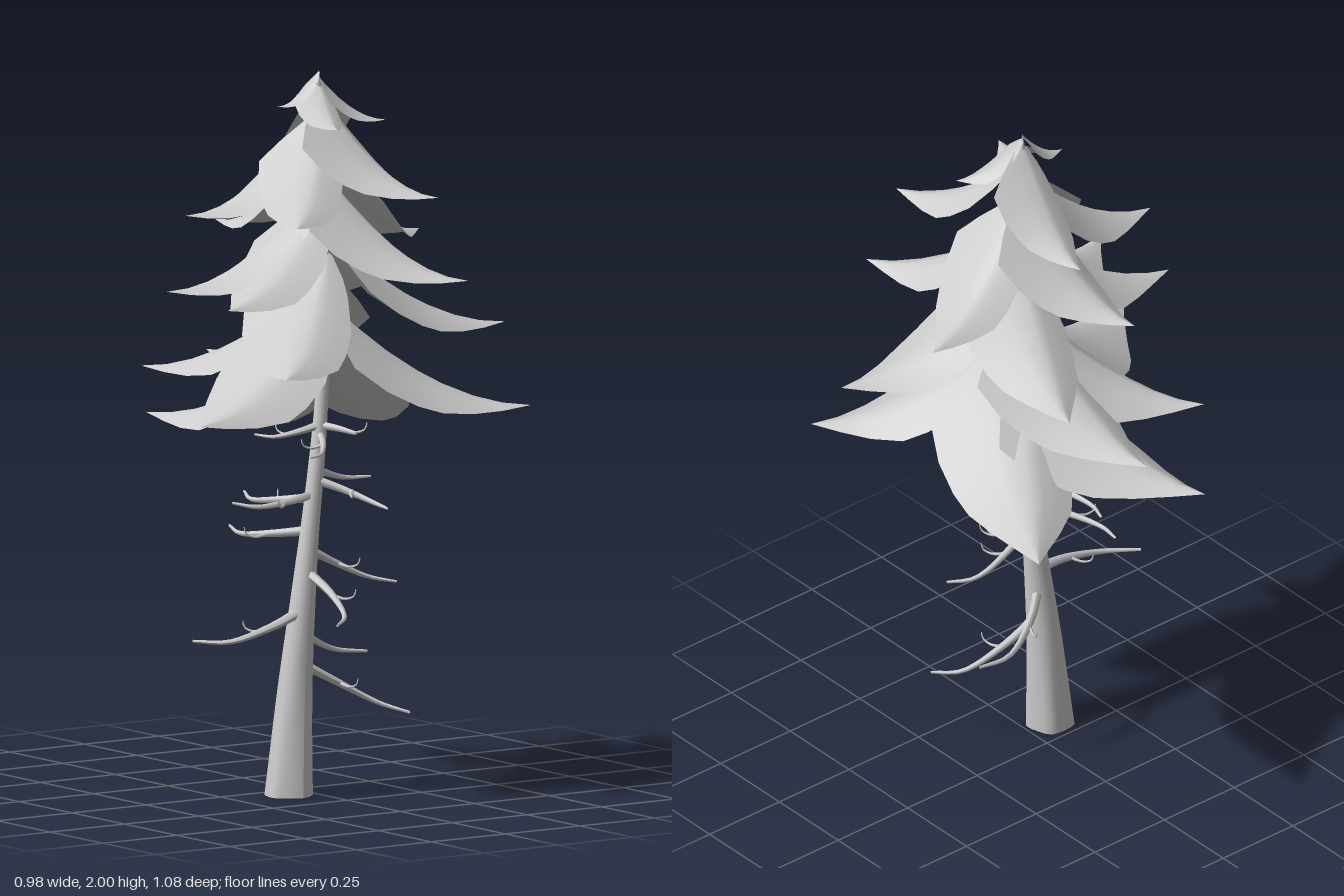
import * as THREE from 'three';

const grey = new THREE.MeshStandardMaterial({ color: 0xcccccc, side: THREE.DoubleSide });
const V = (x, y, z) => new THREE.Vector3(x, y, z);

const trunkCurve = new THREE.CatmullRomCurve3([
  V(0.08, 0, 0.078), V(0.083, 0.3, 0.058), V(0.09, 0.6, 0.03),
  V(0.085, 1.1, -0.03), V(0.07, 1.5, -0.05), V(0.05, 1.97, -0.045),
]);

// Point of the trunk axis at a given height
function trunkAt(y) {
  let lo = 0, hi = 1;
  for (let i = 0; i < 24; i++) {
    const mid = (lo + hi) / 2;
    if (trunkCurve.getPointAt(mid).y < y) lo = mid; else hi = mid;
  }
  return trunkCurve.getPointAt(lo);
}

// Tube whose radius follows radiusAt(u, angle)
function taperedTube(curve, segments, sides, radiusAt) {
  const geo = new THREE.TubeGeometry(curve, segments, 1, sides);
  const pos = geo.attributes.position, p = V(0, 0, 0);
  for (let i = 0; i <= segments; i++) {
    const c = curve.getPointAt(i / segments);
    for (let j = 0; j <= sides; j++) {
      const k = i * (sides + 1) + j;
      p.fromBufferAttribute(pos, k).sub(c)
        .multiplyScalar(radiusAt(i / segments, (j / sides) * Math.PI * 2)).add(c);
      pos.setXYZ(k, p.x, p.y, p.z);
    }
  }
  geo.computeVertexNormals();
  return geo;
}

function add(group, geo, name) {
  const mesh = new THREE.Mesh(geo, grey);
  mesh.name = name;
  group.add(mesh);
  return mesh;
}

// Drooping lopsided bough: ridge from the trunk to a pointed tip, one side broad
// and shallow near the trunk, the other narrow and steep
const ROWS = [0, 0.07, 0.14, 0.3, 0.45, 0.57, 0.72, 0.86, 1];
const BROAD = [0.08, 0.26, 0.39, 0.37, 0.32, 0.265, 0.165, 0.075, 0];
const NARROW = [0.04, 0.11, 0.15, 0.2, 0.2, 0.185, 0.12, 0.055, 0];
function boughGeometry(tip, rise) {
  const top = tip.y + rise;
  const root = trunkAt(Math.min(top, 1.96));
  const out = V(tip.x - root.x, 0, tip.z - root.z);
  const length = out.length();
  out.normalize();
  const side = V(out.z, 0, -out.x);
  const positions = [], index = [], cols = 6;
  ROWS.forEach((t, i) => {
    for (let j = 0; j <= cols; j++) {
      const s = (j / cols) * 2 - 1;
      const w = length * (s < 0 ? BROAD[i] : NARROW[i]);
      const drop = (s < 0 ? 0.4 : 0.62) * w * Math.pow(Math.abs(s), 1.25);
      const p = root.clone().addScaledVector(out, length * t).addScaledVector(side, w * s);
      positions.push(p.x, tip.y + rise * Math.pow(1 - t, 1.9) - drop, p.z);
      if (i && j) {
        const a = (i - 1) * (cols + 1) + j - 1, b = a + cols + 1;
        index.push(a, b, a + 1, b, b + 1, a + 1);
      }
    }
  });
  const geo = new THREE.BufferGeometry();
  geo.setAttribute('position', new THREE.Float32BufferAttribute(positions, 3));
  geo.setIndex(index);
  geo.computeVertexNormals();
  return geo;
}

// Bough tips from the bottom tier to the crown: x, y, z, rise at the trunk
const BOUGHS = [
  [-0.44, 0.98, -0.4, 0.3], [-0.49, 1.0, 0.155, 0.27], [0.395, 1.07, -0.515, 0.3], [0.305, 1.09, 0.535, 0.3],
  [-0.47, 1.16, -0.035, 0.28], [-0.33, 1.16, 0.285, 0.28], [0.44, 1.22, 0.34, 0.28], [0.235, 1.28, -0.54, 0.28],
  [-0.375, 1.34, -0.235, 0.26], [0.23, 1.39, 0.39, 0.27], [-0.045, 1.41, 0.4, 0.27],
  [0.485, 1.45, -0.24, 0.27], [-0.06, 1.51, -0.46, 0.27], [-0.35, 1.54, 0.02, 0.26],
  [0.35, 1.62, 0.24, 0.26], [-0.02, 1.62, 0.355, 0.26], [0.435, 1.68, -0.175, 0.25],
  [-0.25, 1.72, -0.09, 0.24],
  [0.23, 1.86, 0.02, 0.1], [0.15, 1.86, -0.2, 0.12], [0.03, 1.905, 0.08, 0.09],
];

// Dead branches: height at the trunk, then the end point x, y, z
const BRANCHES = [
  [0.37, 0.22, 0.22, -0.23], [0.46, -0.01, 0.36, -0.25], [0.51, 0.05, 0.45, 0.38],
  [0.62, 0.37, 0.51, 0.12], [0.68, 0.13, 0.57, -0.25], [0.73, -0.17, 0.72, 0.1],
  [0.82, -0.17, 0.81, 0.05], [0.83, 0.04, 0.82, 0.24], [0.87, 0.31, 0.81, -0.09],
  [0.9, 0.02, 0.85, -0.24], [1.0, 0.19, 0.95, 0.08], [1.02, 0.26, 1.02, -0.02], [1.02, 0.02, 1.0, 0.15],
];

// Bare branch that sweeps round and hooks at its end, with a curled twig
function addBranch(group, [y, ex, ey, ez], n) {
  const start = trunkAt(y), end = V(ex, ey, ez);
  const flat = V(ex - start.x, 0, ez - start.z);
  const length = flat.length(), side = V(flat.z, 0, -flat.x).normalize();
  const curve = new THREE.CatmullRomCurve3([
    start,
    start.clone().lerp(end, 0.35).addScaledVector(side, 0.13 * length).add(V(0, -0.03 * length, 0)),
    start.clone().lerp(end, 0.75).addScaledVector(side, 0.15 * length).add(V(0, -0.05 * length, 0)),
    end,
  ]);
  const thick = 0.008 + 0.022 * length;
  add(group, taperedTube(curve, 14, 6, (u) => thick * (1 - 0.72 * u)), 'deadBranch');
  const p = curve.getPointAt(0.4);
  const dir = flat.clone().normalize().addScaledVector(side, n % 2 ? 1.2 : -1.2).normalize();
  const twig = new THREE.CatmullRomCurve3([
    p,
    p.clone().addScaledVector(dir, 0.04).add(V(0, -0.008, 0)),
    p.clone().addScaledVector(dir, 0.065).add(V(0, 0.002, 0)),
    p.clone().addScaledVector(dir, 0.07).add(V(0, 0.02, 0)),
  ]);
  add(group, taperedTube(twig, 8, 5, (u) => 0.0055 * (1 - 0.7 * u)), 'twig');
}

export function createModel() {
  const tree = new THREE.Group();
  tree.name = 'coniferTree';

  // Leaning trunk with a lobed foot
  const trunk = taperedTube(trunkCurve, 40, 20, (u, a) => {
    const foot = Math.max(0, 1 - u * 6);
    return 0.004 + 0.038 * Math.pow(1 - u, 1.2) + 0.024 * Math.pow(Math.max(0, 1 - u * 2.6), 1.3)
      + 0.004 * foot * Math.cos(a * 5);
  });
  const pos = trunk.attributes.position;
  for (let k = 0; k <= 20; k++) pos.setY(k, 0);
  trunk.computeVertexNormals();
  add(tree, trunk, 'trunk');
  const base = add(tree, new THREE.CircleGeometry(0.064, 20), 'trunkBase');
  base.rotation.x = Math.PI / 2;
  base.position.set(0.08, 0.001, 0.078);

  // Bare lower branches
  const branches = new THREE.Group();
  branches.name = 'deadBranches';
  BRANCHES.forEach((b, n) => addBranch(branches, b, n));
  tree.add(branches);

  // Foliage tiers
  const foliage = new THREE.Group();
  foliage.name = 'foliage';
  BOUGHS.forEach(([x, y, z, rise]) => add(foliage, boughGeometry(V(x, y, z), rise), 'bough'));
  tree.add(foliage);

  // Pointed leader at the very top
  const leader = add(tree, new THREE.ConeGeometry(0.018, 0.12, 6), 'leader');
  leader.position.set(0.05, 1.94, -0.045);
  return tree;
}
